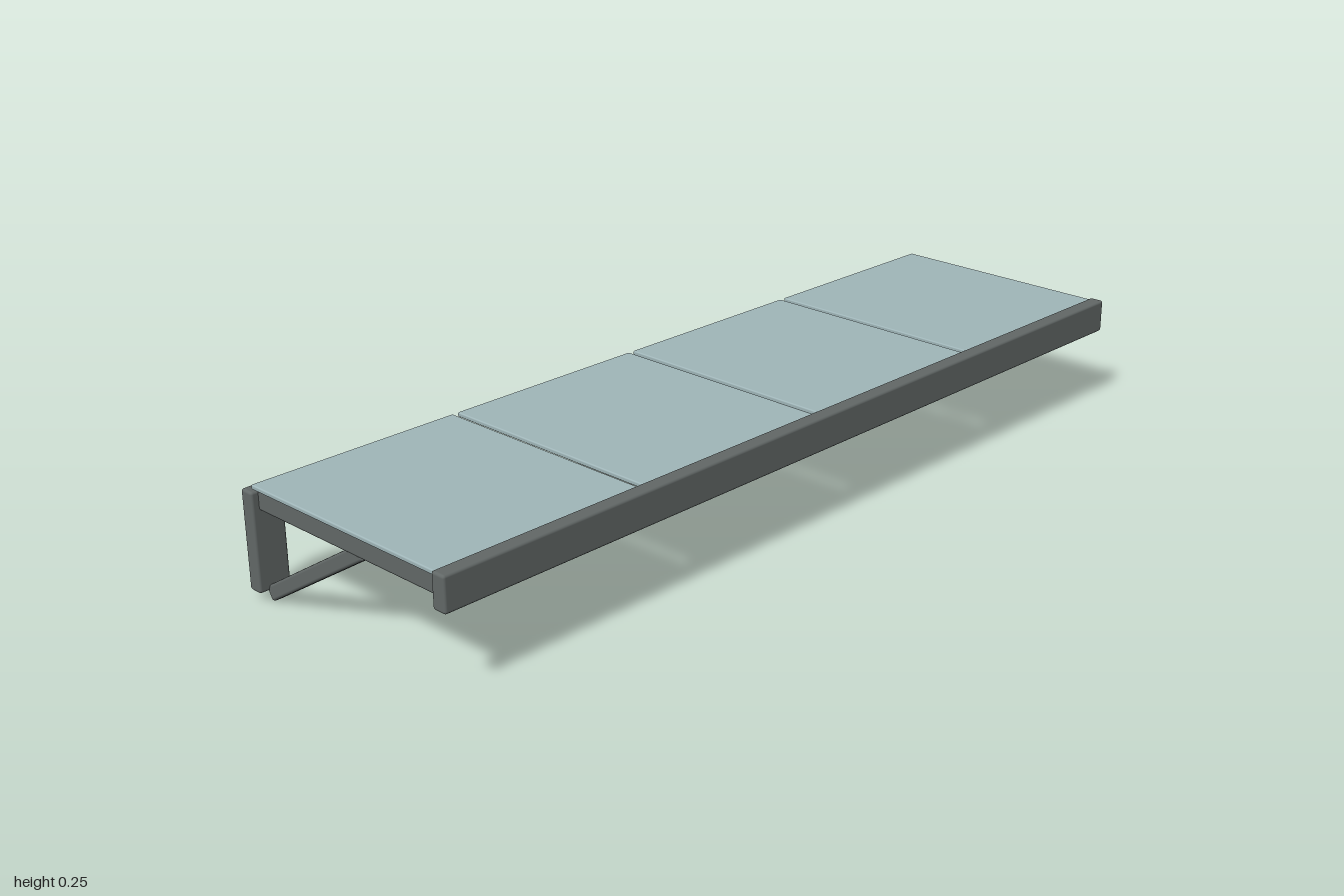
import * as THREE from 'three';
import { RoundedBoxGeometry } from 'three/addons/geometries/RoundedBoxGeometry.js';

export function createModel() {
  const model = new THREE.Group();
  model.name = 'wallCanopy';

  const metal = new THREE.MeshStandardMaterial({ color: 0x626867 });
  metal.name = 'dark grey metal';
  const glass = new THREE.MeshStandardMaterial({ color: 0xa0b6b9 });
  glass.name = 'pale blue glass';

  // Softly rounded bar given by its size and centre
  function bar(name, parent, material, size, centre, radius) {
    const mesh = new THREE.Mesh(new RoundedBoxGeometry(...size, 2, radius), material);
    mesh.position.set(...centre);
    mesh.name = name;
    parent.add(mesh);
    return mesh;
  }

  // Front rail across the whole width
  bar('frontRail', model, metal, [2, 0.075, 0.034], [0, 0.218, 0.283], 0.006);

  // Four roof panels with narrow gaps
  for (let i = 0; i < 4; i++) {
    bar('roofPanel', model, glass, [0.487, 0.01, 0.535], [(i - 1.5) * 0.5, 0.248, 0.0025], 0.003);
  }

  // Bracket on each side: wall post, arm and diagonal brace
  for (const side of [-1, 1]) {
    const bracket = new THREE.Group();
    bracket.name = side > 0 ? 'leftBracket' : 'rightBracket';
    bracket.position.x = side * 0.958;
    model.add(bracket);

    bar('wallPost', bracket, metal, [0.072, 0.212, 0.033], [0, 0.129, -0.2835], 0.006);
    bar('supportArm', bracket, metal, [0.04, 0.05, 0.556], [0, 0.218, -0.004], 0.006);

    const low = new THREE.Vector3(0, 0.0146, -0.2705);
    const high = new THREE.Vector3(0, 0.2, 0.028);
    const middle = low.clone().lerp(high, 0.5);
    const brace = bar('diagonalBrace', bracket, metal,
      [0.028, 0.032, low.distanceTo(high)], middle.toArray(), 0.006);
    brace.rotation.x = -Math.atan2(high.y - low.y, high.z - low.z);
  }

  return model;
}
